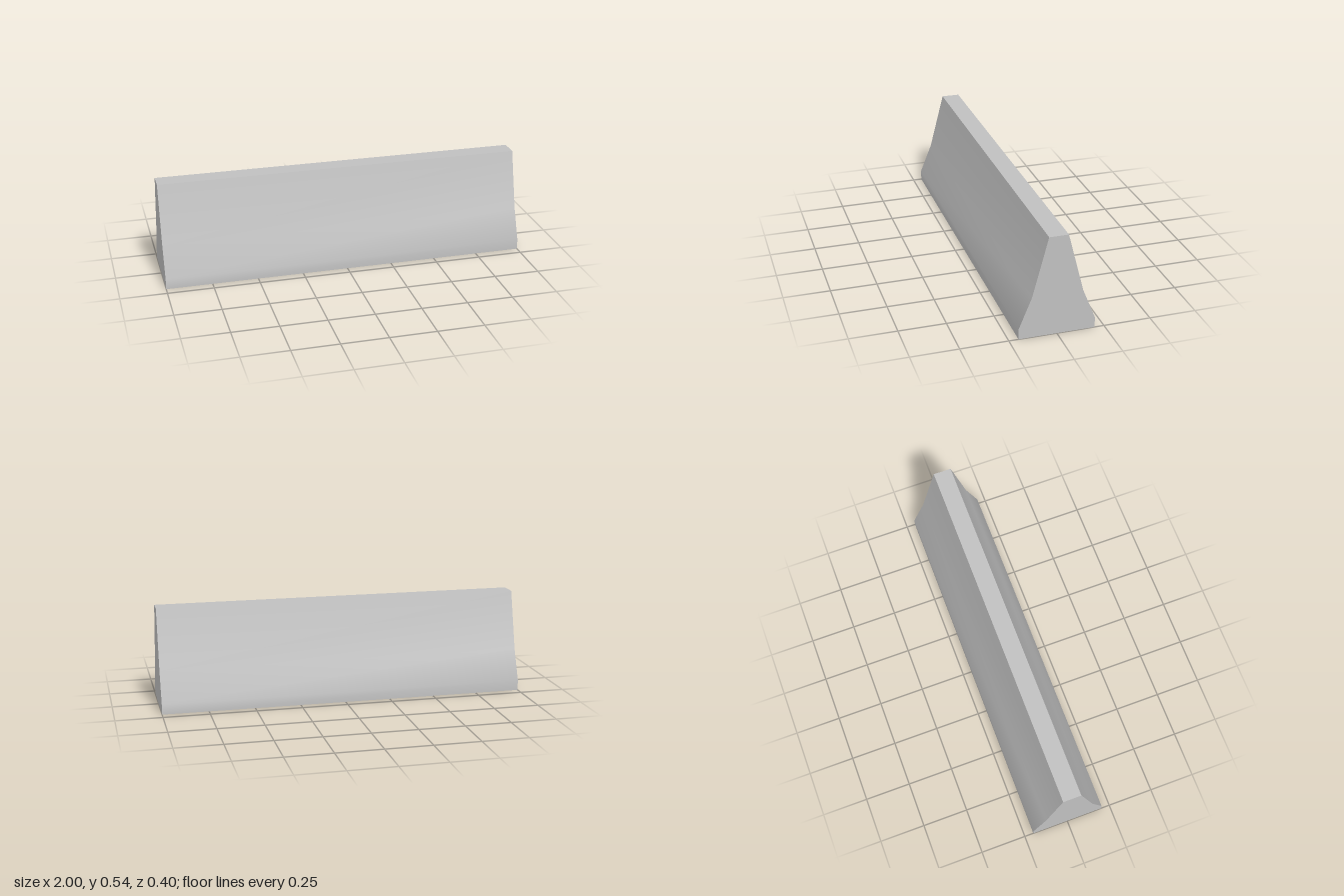
import * as THREE from 'three';
import { toCreasedNormals } from 'three/addons/utils/BufferGeometryUtils.js';

export function createModel() {
  const group = new THREE.Group();
  group.name = 'roadBarrier';

  const concrete = new THREE.MeshStandardMaterial({ color: 0xc0c0c0 });
  concrete.name = 'concrete';

  // Half profile from foot to top: [half depth, height], mirrored for the other side
  const half = [[0.2, 0], [0.2, 0.056], [0.133, 0.222], [0.05, 0.541]];
  const mirrored = half.map(([d, y]) => [-d, y]).reverse();
  const profile = new THREE.Shape([...half, ...mirrored].map(([d, y]) => new THREE.Vector2(d, y)));

  // Sweep along x; the sloped sides blend smoothly while top, base and ends stay sharp
  const length = 2;
  const geometry = new THREE.ExtrudeGeometry(profile, { depth: length, bevelEnabled: false });
  geometry.translate(0, 0, -length / 2);
  geometry.rotateY(Math.PI / 2);

  const barrier = new THREE.Mesh(toCreasedNormals(geometry, THREE.MathUtils.degToRad(40)), concrete);
  barrier.name = 'barrierBody';
  group.add(barrier);
  return group;
}
